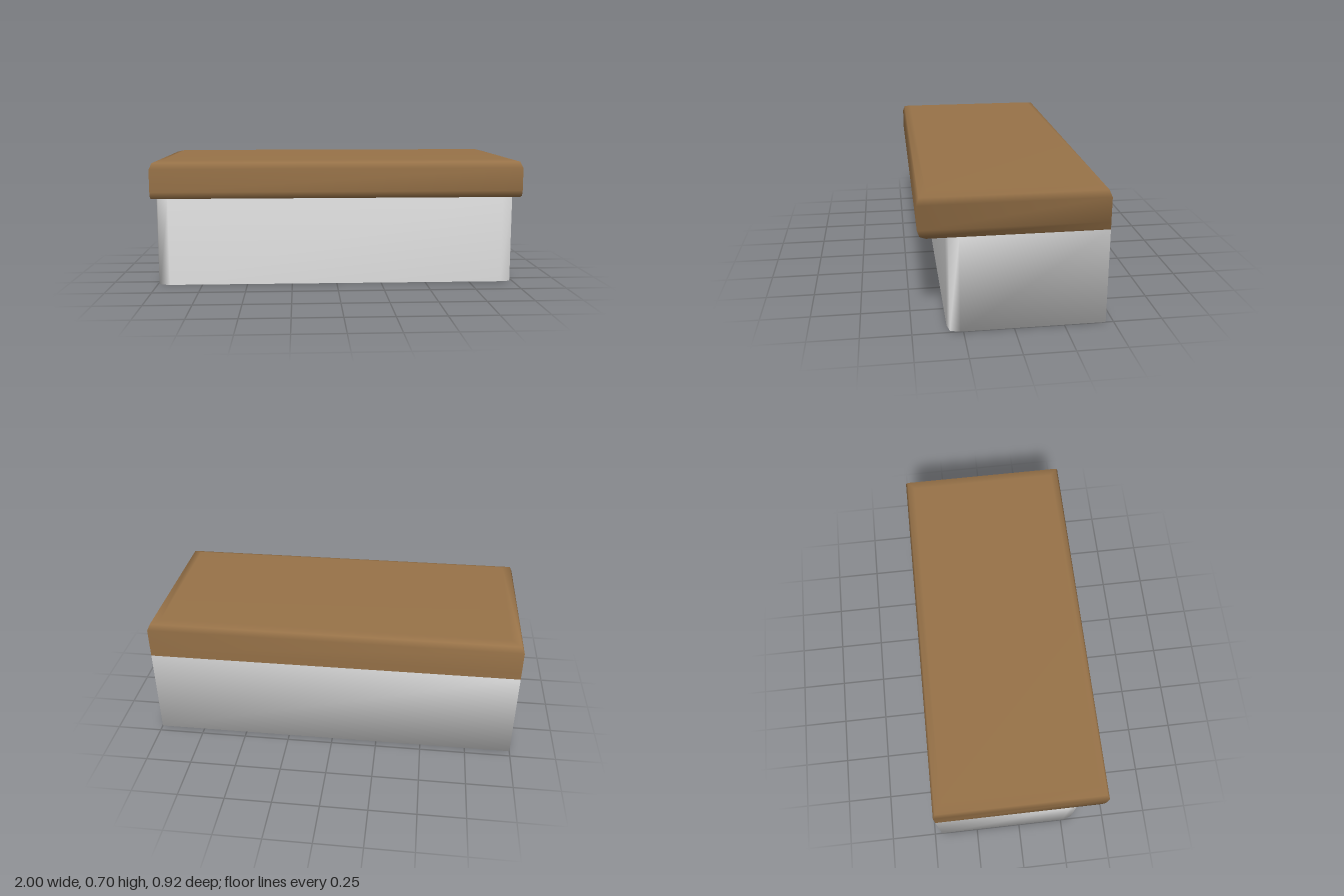
import * as THREE from 'three';

// Joins rings of points (anticlockwise from above) into one smooth skin;
// corners are shared so the shading flows softly over the edges.
function loft(rings, { top = false, bottom = false, extra = [], extraFaces = [] }) {
  const n = rings[0].length;
  const index = [];
  for (let r = 0; r < rings.length - 1; r++) {
    for (let i = 0; i < n; i++) {
      const j = (i + 1) % n;
      const a = r * n + i, b = r * n + j;
      index.push(a, b, b + n, a, b + n, a + n);
    }
  }
  const last = (rings.length - 1) * n;
  for (let i = 1; i < n - 1; i++) {
    if (top) index.push(last, last + i, last + i + 1);
    if (bottom) index.push(0, i + 1, i);
  }
  index.push(...extraFaces);
  const geometry = new THREE.BufferGeometry();
  const points = [...rings.flat(), ...extra].flat();
  geometry.setAttribute('position', new THREE.Float32BufferAttribute(points, 3));
  geometry.setIndex(index);
  geometry.computeVertexNormals();
  return geometry;
}

export function createModel() {
  const wood = new THREE.MeshStandardMaterial({ color: 0x977248 });
  wood.name = 'wood';
  const white = new THREE.MeshStandardMaterial({ color: 0xe6e6e6 });
  white.name = 'white cabinet';

  const group = new THREE.Group();
  group.name = 'counter';

  // Cabinet: straight back corners, rounded front corners
  const plan = [
    [1, 0.265], [1, -0.46], [-1, -0.46], [-1, 0.265],
    [-0.985, 0.315], [-0.93, 0.327], [0.93, 0.327], [0.985, 0.315],
  ];
  const cabinetRings = [0, 0.495].map((y) => plan.map(([x, z]) => [x, y, z]));
  const cabinet = new THREE.Mesh(loft(cabinetRings, { bottom: true }), white);
  cabinet.name = 'cabinet';
  group.add(cabinet);

  // Worktop levels: height, half width, front z, back z
  const levels = [
    [0.495, 1, 0.42, -0.46],
    [0.505, 1, 0.449, -0.46],
    [0.535, 1, 0.46, -0.46],
    [0.657, 1, 0.46, -0.46],
    [0.69, 0.985, 0.447, -0.447],
    [0.702, 0.935, 0.41, -0.41],
  ];
  const topRings = levels.map(([y, x, front, back]) => [
    [x, y, front], [x, y, back], [-x, y, back], [-x, y, front],
  ]);
  // Underside of the overhang, running back to the cabinet front
  const k = levels.length * 4;
  const worktop = new THREE.Mesh(loft(topRings, {
    top: true,
    extra: [[1, 0.495, 0.26], [-1, 0.495, 0.26]],
    extraFaces: [0, 3, k + 1, 0, k + 1, k],
  }), wood);
  worktop.name = 'worktop';
  group.add(worktop);

  return group;
}
